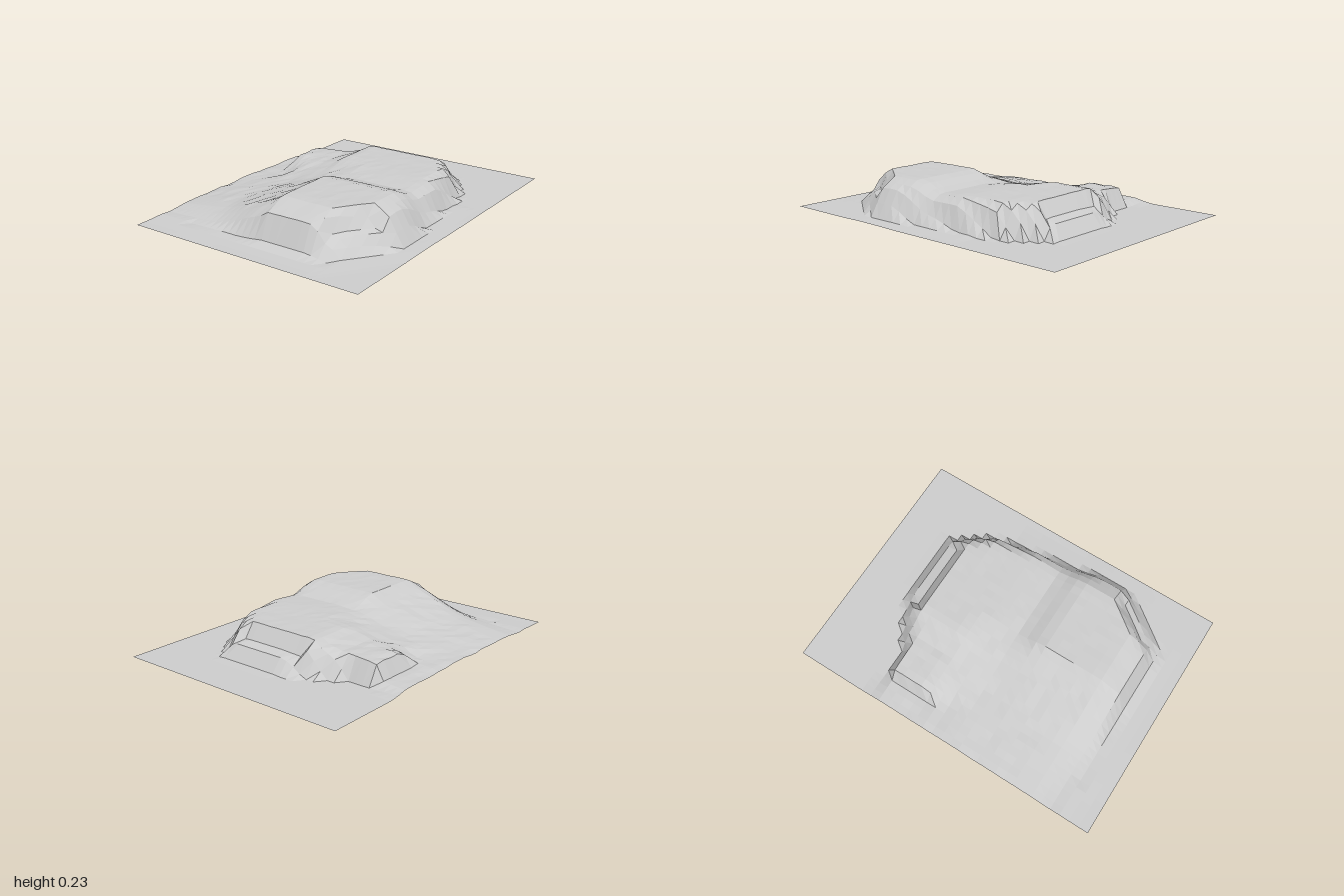
import * as THREE from 'three';

// Foot and rim outlines of the cliffs, as [x, z]; both run off the back edge
const foot = [[-0.7, -1], [-0.84, -0.45], [-0.82, -0.2], [-0.82, 0.42], [-0.55, 0.6], [-0.44, 0.66], [-0.31, 0.66],
  [-0.13, 0.61], [0.18, 0.56], [0.37, 0.52], [0.5, 0.47], [0.62, 0.38], [0.69, 0.33], [0.69, -0.06],
  [0.63, -0.2], [0.56, -0.33], [0.5, -0.42], [0.5, -0.61], [0.56, -1]];
const rim = [[-0.45, -1], [-0.52, -0.4], [-0.65, -0.2], [-0.75, 0], [-0.75, 0.28], [-0.43, 0.47], [-0.12, 0.46],
  [0.12, 0.465], [0.37, 0.42], [0.5, 0.32], [0.5, -0.2], [0.44, -0.36], [0.43, -0.6], [0.43, -1]];

// Cross-sections of the upper surface: x, then [z, height] pairs from back to front
const plateau = [[-0.75, 0.02], [-0.4, 0.075], [-0.15, 0.15], [-0.06, 0.185], [0, 0.225]];
const spur = [[-0.75, 0.02], [-0.61, 0.03], [-0.56, 0.122], [-0.33, 0.13], [-0.23, 0.155], [-0.18, 0.183]];
const sections = [
  [-0.75, [[-0.75, 0.015], [-0.4, 0.05], [-0.2, 0.12], [0, 0.165]]],
  [-0.62, plateau],
  [-0.22, plateau],
  [-0.08, [[-0.75, 0.025], [-0.4, 0.07], [-0.1, 0.15], [0.1, 0.17]]],
  [0.1, [[-0.75, 0.025], [-0.54, 0.035], [-0.47, 0.085], [-0.2, 0.14], [0, 0.182]]],
  [0.22, spur],
  [0.5, spur],
];

// Cliff profiles: [fraction from foot to rim, fraction of height]
const steep = [[0, 0], [0.5, 0.76], [1, 1]];
const ledged = [[0, 0], [0.3, 0.43], [0.66, 0.52], [1, 1]];

// Piecewise linear value of [key, value] pairs
function sample(pairs, k) {
  if (k <= pairs[0][0]) return pairs[0][1];
  for (let i = 1; i < pairs.length; i++) {
    const [a, va] = pairs[i - 1], [b, vb] = pairs[i];
    if (k <= b) return va + (vb - va) * (k - a) / (b - a);
  }
  return pairs[pairs.length - 1][1];
}

// Distance to an outline, positive inside it
function inside(poly, x, z) {
  let best = Infinity, within = false;
  poly.forEach(([ax, az], i) => {
    const [bx, bz] = poly[(i + 1) % poly.length];
    const dx = bx - ax, dz = bz - az;
    const t = THREE.MathUtils.clamp(((x - ax) * dx + (z - az) * dz) / (dx * dx + dz * dz), 0, 1);
    best = Math.min(best, Math.hypot(x - ax - t * dx, z - az - t * dz));
    if ((az > z) !== (bz > z) && x < ax + dx * (z - az) / dz) within = !within;
  });
  return within ? best : -best;
}

// Repeatable roughness between -1 and 1
function rough(x, z) {
  const s = Math.sin(x * 127.1 + z * 311.7) * 43758.5453;
  return 2 * (s - Math.floor(s)) - 1;
}

function heightAt(x, z) {
  const toFoot = inside(foot, x, z);
  if (toFoot <= 0) {
    // low skirt of debris around the left and front
    return x < 0.3 ? 0.008 * Math.max(0, 1 + toFoot / 0.14) : 0;
  }
  const top = sample(sections.map(([sx, pairs]) => [sx, sample(pairs, z)]), x);
  const toRim = inside(rim, x, z);
  if (toRim >= 0) return top + (top < 0.16 ? 0.004 : 0.0015) * rough(x, z);
  const eastLedge = x > 0.5 && z > -0.15 && z < 0.32;
  const westLedge = x < -0.48 && z > 0.34;
  return top * sample(eastLedge || westLedge ? ledged : steep, toFoot / (toFoot - toRim));
}

export function createModel() {
  const group = new THREE.Group();
  group.name = 'terrain';

  // Regular grid sheet lifted by the height rule
  const sheet = new THREE.PlaneGeometry(1.5, 2, 32, 32).rotateX(-Math.PI / 2).rotateY(Math.PI / 2);
  const pos = sheet.attributes.position;
  for (let i = 0; i < pos.count; i++) {
    pos.setY(i, Math.max(0, heightAt(pos.getX(i), pos.getZ(i))));
  }
  sheet.computeVertexNormals();

  const hill = new THREE.Mesh(sheet, new THREE.MeshStandardMaterial({
    color: 0xcccccc, flatShading: true, side: THREE.DoubleSide,
  }));
  hill.name = 'plateauHill';
  group.add(hill);
  return group;
}
